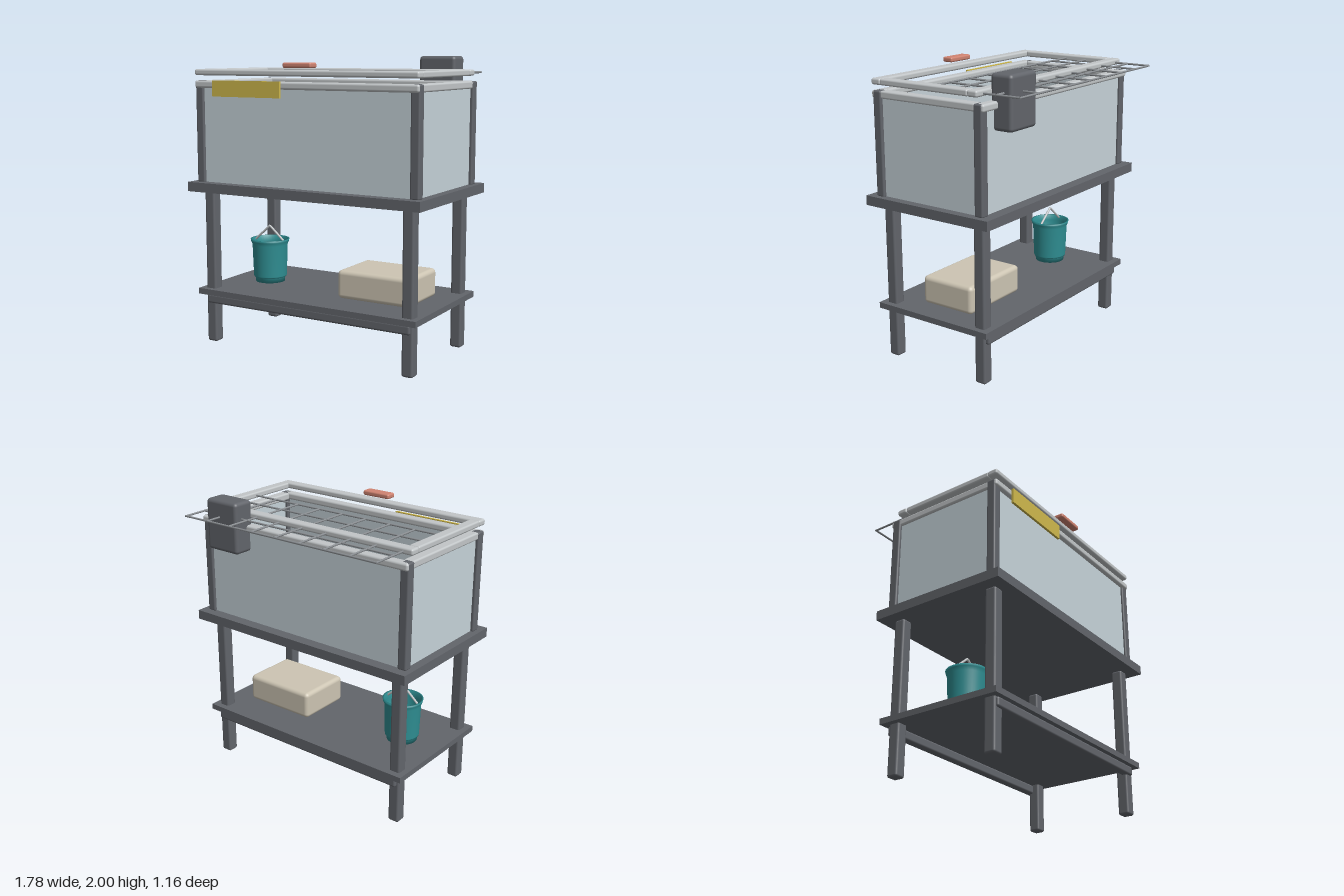
import * as THREE from 'three';
import { RoundedBoxGeometry } from 'three/addons/geometries/RoundedBoxGeometry.js';

const material = (color, side = THREE.FrontSide) => new THREE.MeshStandardMaterial({ color, side });
const dark = material(0x62656b);
const rimGrey = material(0xc2c6c8);
const wireGrey = material(0x8b8f93);
const glass = material(0xc6d3d9);
const sand = material(0xcdc5b3);
const stone = material(0x857f75);
const pink = material(0xd08472);
const yellow = material(0xcfb84c);
const teal = material(0x2f8f93, THREE.DoubleSide);

export function createModel() {
  const model = new THREE.Group();

  const add = (name, geometry, mat) => {
    const mesh = new THREE.Mesh(geometry, mat);
    mesh.name = name;
    model.add(mesh);
    return mesh;
  };

  // Box given by its limits on each axis; a radius rounds its edges
  const box = (name, mat, [x0, x1], [y0, y1], [z0, z1], radius = 0) => {
    const size = [x1 - x0, y1 - y0, z1 - z0];
    const geometry = radius
      ? new RoundedBoxGeometry(...size, 3, radius)
      : new THREE.BoxGeometry(...size);
    const mesh = add(name, geometry, mat);
    mesh.position.set((x0 + x1) / 2, (y0 + y1) / 2, (z0 + z1) / 2);
    return mesh;
  };

  // Round bar between two points
  const bar = (name, mat, from, to, radius, sides = 8) => {
    const a = new THREE.Vector3(...from);
    const b = new THREE.Vector3(...to);
    const mesh = add(name, new THREE.CylinderGeometry(radius, radius, a.distanceTo(b), sides), mat);
    mesh.position.copy(a).lerp(b, 0.5);
    mesh.quaternion.setFromUnitVectors(new THREE.Vector3(0, 1, 0), b.sub(a).normalize());
    return mesh;
  };

  // Stand: table top, shelf, legs and shelf rails
  box('tableTop', dark, [-0.89, 0.89], [1.075, 1.14], [-0.41, 0.58]);
  box('shelf', dark, [-0.85, 0.85], [0.345, 0.385], [-0.365, 0.54]);
  for (const x of [-0.77, 0.77]) {
    for (const z of [-0.28, 0.46]) {
      box('leg', dark, [x - 0.04, x + 0.04], [0, 1.075], [z - 0.04, z + 0.04], 0.015);
    }
  }
  for (const [z0, z1] of [[0.455, 0.515], [-0.345, -0.285]]) {
    box('shelfRail', dark, [-0.795, 0.795], [0.28, 0.345], [z0, z1], 0.015);
  }

  // Tank: corner posts and glass panes
  for (const x of [-0.82, 0.82]) {
    for (const z of [-0.315, 0.49]) {
      box('cornerPost', dark, [x - 0.032, x + 0.032], [1.135, 1.835], [z - 0.032, z + 0.032], 0.012);
    }
    box('sidePane', glass, [x - 0.01, x + 0.01], [1.14, 1.8], [-0.29, 0.465]);
  }
  for (const z of [-0.32, 0.495]) {
    box('longPane', glass, [-0.79, 0.79], [1.14, 1.8], [z - 0.01, z + 0.01]);
  }

  // Lower rim around the tank
  for (const [z0, z1] of [[0.465, 0.535], [-0.36, -0.29]]) {
    box('lowerRim', rimGrey, [-0.85, 0.85], [1.785, 1.835], [z0, z1], 0.015);
  }
  // Upper lid frame, shifted slightly forward of the back rim
  for (const [z0, z1] of [[0.46, 0.535], [-0.31, -0.235]]) {
    box('lidFrame', rimGrey, [-0.85, 0.85], [1.87, 1.912], [z0, z1], 0.014);
  }
  for (const s of [-1, 1]) {
    const xs = [s * 0.81 - 0.037, s * 0.81 + 0.037];
    box('lowerSideRim', rimGrey, xs, [1.785, 1.835], [-0.29, 0.465], 0.012);
    box('lidSide', rimGrey, xs, [1.87, 1.912], [-0.235, 0.465], 0.012);
  }

  // Sliding wire screen
  for (let i = -4; i <= 4; i++) {
    bar('screenCrossWire', wireGrey, [i * 0.195, 1.888, -0.578], [i * 0.195, 1.888, 0.112], 0.007);
  }
  for (let i = 0; i < 5; i++) {
    const z = -0.575 + i * 0.171;
    bar('screenLongWire', wireGrey, [-0.785, 1.888, z], [0.785, 1.888, z], 0.007);
  }

  // Filter hung on the back, with its intake pipe inside the tank
  box('filter', dark, [0.437, 0.706], [1.65, 2], [-0.46, -0.302], 0.025);
  bar('filterPipe', dark, [0.57, 1.76, -0.31], [0.57, 1.76, -0.2], 0.018, 12);
  bar('intakePipe', dark, [0.57, 1.3, -0.2], [0.57, 1.778, -0.2], 0.018, 12);

  // Tank contents
  box('sandBed', sand, [-0.81, 0.81], [1.14, 1.2], [-0.31, 0.485]);
  for (const x of [-0.47, 0.46]) {
    box('rock', stone, [x - 0.15, x + 0.15], [1.18, 1.38], [-0.23, 0.055], 0.045);
  }
  box('smallBlock', pink, [0.1, 0.165], [1.2, 1.26], [0.13, 0.195], 0.015);

  // Label plate and lid handle
  box('labelPlate', yellow, [-0.685, -0.14], [1.73, 1.838], [0.535, 0.552]);
  box('lidHandle', pink, [-0.11, 0.105], [1.925, 1.96], [0.482, 0.562], 0.012);

  // Bucket with a bent handle
  const profile = [
    [0, 0.0], [0.105, 0], [0.107, 0.032], [0.117, 0.036], [0.119, 0.045],
    [0.127, 0.27], [0.137, 0.295], [0.14, 0.31], [0.128, 0.31], [0.12, 0.27], [0.1, 0.02], [0, 0.02],
  ].map(([r, y]) => new THREE.Vector2(r, y));
  const bucket = add('bucket', new THREE.LatheGeometry(profile, 40), teal);
  bucket.position.set(-0.55, 0.385, 0.088);
  for (const s of [-1, 1]) {
    bar('bucketHandle', rimGrey, [-0.55 + s * 0.125, 0.68, 0.088], [-0.55, 0.788, 0.088], 0.008);
  }

  // Storage box on the shelf
  box('storageBox', sand, [0.137, 0.683], [0.385, 0.58], [-0.115, 0.293], 0.03);

  return model;
}
